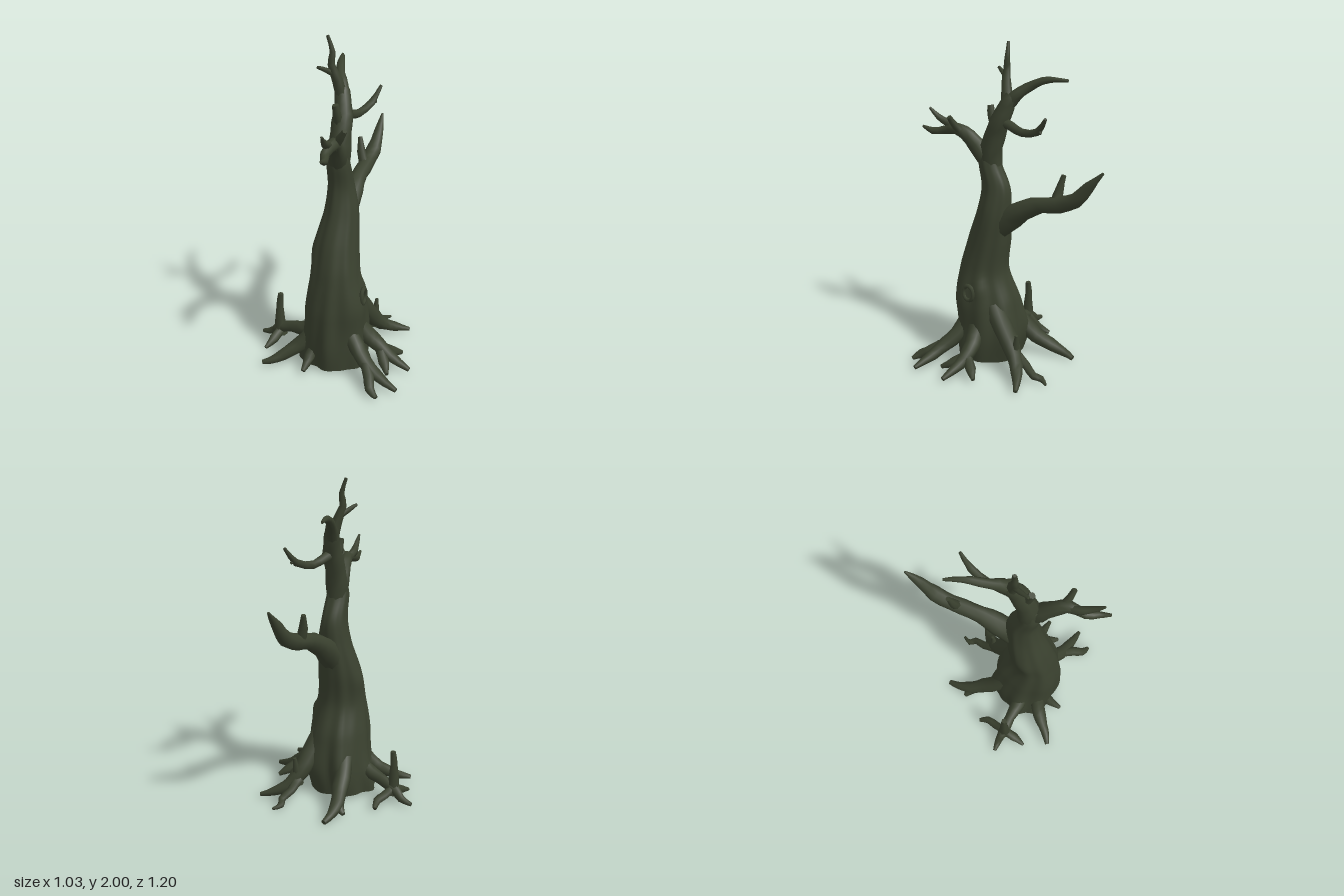
import * as THREE from 'three';
import { mergeVertices } from 'three/addons/utils/BufferGeometryUtils.js';

const bark = new THREE.MeshStandardMaterial({ color: 0x3a412f });
bark.name = 'darkBark';

// Reshapes a unit cylinder: place(t, x, z, v) moves each vertex, t runs along the length.
function sweep(name, sides, steps, place) {
  let g = new THREE.CylinderGeometry(1, 1, 1, sides, steps);
  g.deleteAttribute('uv');
  g = mergeVertices(g);
  const pos = g.attributes.position;
  const v = new THREE.Vector3();
  for (let i = 0; i < pos.count; i++) {
    v.fromBufferAttribute(pos, i);
    place(v.y + 0.5, v.x, v.z, v);
    pos.setXYZ(i, v.x, v.y, v.z);
  }
  g.computeVertexNormals();
  const mesh = new THREE.Mesh(g, bark);
  mesh.name = name;
  return mesh;
}

// Tapered limb through points [x, y, z, radius].
function limb(name, pts, sides = 7) {
  const curve = new THREE.CatmullRomCurve3(pts.map(p => new THREE.Vector3(p[0], p[1], p[2])));
  const n = pts.length - 1;
  const d = curve.points[n].clone().sub(curve.points[0]).normalize();
  const ref = Math.abs(d.x) < 0.6 ? new THREE.Vector3(1, 0, 0) : new THREE.Vector3(0, 0, 1);
  return sweep(name, sides, n * 2, (t, x, z, v) => {
    const k = Math.min(Math.floor(t * n), n - 1);
    const wobble = 1 + 0.06 * Math.sin(t * n * 4 + x * 3);
    const r = THREE.MathUtils.lerp(pts[k][3], pts[k + 1][3], t * n - k) * wobble;
    const T = curve.getTangent(t);
    const X = ref.clone().addScaledVector(T, -ref.dot(T)).normalize();
    const Z = X.clone().cross(T);
    v.copy(curve.getPoint(t)).addScaledVector(X, x * r).addScaledVector(Z, z * r);
  });
}

// Swellings on the trunk: [angle from the front, height, angular spread, vertical spread, amount].
const swellings = [
  [1.6, 0.12, 0.25, 0.16, 0.12], [1.05, 0.12, 0.25, 0.16, 0.12], [-0.96, 0.08, 0.22, 0.13, 0.1],
  [-1.6, 0.1, 0.25, 0.12, 0.08], [2.6, 0.2, 0.25, 0.2, 0.2], [-2.65, 0.15, 0.25, 0.17, 0.16],
  [3.14, 0.08, 0.2, 0.13, 0.08], [-1.55, 0.74, 0.5, 0.06, 0.07], [1.2, 0.42, 0.55, 0.14, 0.12],
  [1.9, 0.52, 0.3, 0.06, 0.1]];

// Fluted trunk; rows are [y, centre x, centre z, half width, half depth].
function trunk() {
  const rows = [
    [0.02, 0.01, 0.185, 0.205, 0.195], [0.2, 0.022, 0.178, 0.192, 0.215], [0.4, 0.03, 0.192, 0.178, 0.2],
    [0.6, 0.035, 0.21, 0.148, 0.15], [0.8, 0.03, 0.174, 0.132, 0.133], [1.0, 0.042, 0.13, 0.1, 0.106],
    [1.15, 0.038, 0.118, 0.076, 0.09], [1.3, 0.037, 0.16, 0.068, 0.066], [1.4, 0.037, 0.165, 0.045, 0.045]];
  const a = new THREE.CatmullRomCurve3(rows.map(r => new THREE.Vector3(r[0], r[1], r[2])));
  const b = new THREE.CatmullRomCurve3(rows.map(r => new THREE.Vector3(r[3], r[4], 0)));
  return sweep('trunk', 64, 48, (t, x, z, v) => {
    const c = a.getPoint(t), s = b.getPoint(t);
    const th = Math.atan2(x, z), fade = 1 - 0.75 * t;
    let f = 1 + fade * (0.035 * Math.sin(7 * th + 3 * t) + 0.022 * Math.sin(11 * th - 5 * t + 1)
      + 0.025 * Math.sin(3 * th + 14 * t));
    for (const [angle, y, spread, rise, amount] of swellings) {
      const turn = Math.atan2(Math.sin(th - angle), Math.cos(th - angle));
      f += amount * Math.exp(-((turn / spread) ** 2) - ((c.x - y) / rise) ** 2);
    }
    v.set(c.y + x * s.x * f, c.x, c.z + z * s.y * f);
  });
}

export function createModel() {
  const model = new THREE.Group();
  model.name = 'deadTree';
  model.add(trunk());

  // Crown and branches
  const branches = {
    upperTrunk: [[0.037, 1.17, 0.13, 0.05], [0.037, 1.33, 0.15, 0.067], [0.037, 1.46, 0.125, 0.064],
      [0.035, 1.56, 0.085, 0.057], [0.02, 1.65, 0.05, 0.048], [0.005, 1.71, 0.025, 0.036]],
    topBackBranch: [[0.012, 1.64, 0.055, 0.04], [0, 1.7, 0.01, 0.038], [-0.035, 1.752, -0.055, 0.028],
      [-0.065, 1.798, -0.14, 0.022], [-0.085, 1.808, -0.21, 0.015], [-0.11, 1.806, -0.28, 0.008]],
    topSpike: [[0.015, 1.65, 0.05, 0.04], [-0.005, 1.75, 0.068, 0.03], [-0.035, 1.84, 0.085, 0.022],
      [-0.03, 1.91, 0.078, 0.016], [-0.055, 2, 0.086, 0.009]],
    topTwig: [[-0.03, 1.79, 0.08, 0.018], [-0.055, 1.815, 0.12, 0.015], [-0.08, 1.84, 0.17, 0.009]],
    middleBackBranch: [[0.035, 1.56, 0.09, 0.036], [0.045, 1.54, 0.01, 0.028], [0.065, 1.517, -0.09, 0.024],
      [0.1, 1.55, -0.21, 0.022], [0.135, 1.64, -0.28, 0.009]],
    middleBackTwig: [[0.09, 1.54, -0.18, 0.016], [0.11, 1.56, -0.23, 0.012], [0.12, 1.545, -0.24, 0.006]],
    crownStub: [[0.03, 1.5, 0.12, 0.032], [0.025, 1.57, 0.15, 0.025], [0.02, 1.635, 0.163, 0.02]],
    frontBranch: [[0.04, 1.2, 0.14, 0.03], [0.048, 1.34, 0.2, 0.056], [0.065, 1.435, 0.285, 0.045],
      [0.085, 1.48, 0.36, 0.036], [0.08, 1.455, 0.46, 0.026], [0.105, 1.445, 0.53, 0.021], [0.115, 1.468, 0.595, 0.008]],
    frontUpperTwig: [[0.08, 1.46, 0.34, 0.03], [0.075, 1.5, 0.43, 0.025], [0.09, 1.53, 0.49, 0.019],
      [0.1, 1.585, 0.55, 0.007]],
    frontStub: [[0.08, 1.45, 0.32, 0.028], [0.12, 1.51, 0.35, 0.022], [0.155, 1.565, 0.365, 0.015]],
    backBranch: [[0.035, 0.74, 0.19, 0.04], [0.035, 0.87, 0.11, 0.072], [0.035, 0.97, 0.01, 0.075], [0.035, 1.042, -0.09, 0.061],
      [0.035, 1.092, -0.2, 0.048], [0.035, 1.12, -0.32, 0.049], [0.04, 1.17, -0.43, 0.046],
      [0.045, 1.265, -0.51, 0.031], [0.04, 1.36, -0.595, 0.007]],
    backStub: [[0.03, 1.12, -0.29, 0.035], [0.005, 1.2, -0.3, 0.026], [-0.01, 1.285, -0.32, 0.014]],
  };

  // Roots, each rising out of the flared base and running to a tip on the ground
  const roots = {
    leftRoot: [[0.09, 0.42, 0.18, 0.025], [0.15, 0.3, 0.175, 0.055], [0.22, 0.195, 0.165, 0.056], [0.3, 0.13, 0.155, 0.046],
      [0.38, 0.075, 0.17, 0.036], [0.51, 0.03, 0.2, 0.014]],
    leftRootBackFork: [[0.32, 0.11, 0.155, 0.034], [0.37, 0.06, 0.09, 0.032], [0.415, 0.03, 0.04, 0.012]],
    leftRootFrontFork: [[0.31, 0.11, 0.16, 0.034], [0.36, 0.06, 0.23, 0.032], [0.4, 0.03, 0.295, 0.013]],
    frontLeftRoot: [[0.08, 0.4, 0.23, 0.025], [0.14, 0.28, 0.265, 0.05], [0.21, 0.18, 0.3, 0.052], [0.28, 0.12, 0.345, 0.045],
      [0.37, 0.07, 0.385, 0.035], [0.5, 0.03, 0.425, 0.014]],
    frontLeftRootFork: [[0.27, 0.13, 0.34, 0.035], [0.33, 0.08, 0.42, 0.032], [0.36, 0.04, 0.485, 0.03],
      [0.41, 0.02, 0.52, 0.012]],
    frontRightRoot: [[-0.04, 0.34, 0.25, 0.025], [-0.085, 0.22, 0.28, 0.048], [-0.15, 0.13, 0.315, 0.048], [-0.22, 0.08, 0.36, 0.04],
      [-0.28, 0.045, 0.41, 0.028], [-0.355, 0.025, 0.45, 0.014]],
    frontSmallRoot: [[-0.05, 0.2, 0.31, 0.025], [-0.07, 0.09, 0.37, 0.034], [-0.08, 0.035, 0.455, 0.014]],
    rightRoot: [[-0.06, 0.24, 0.21, 0.03], [-0.17, 0.155, 0.18, 0.048], [-0.28, 0.125, 0.155, 0.036],
      [-0.38, 0.09, 0.14, 0.036], [-0.44, 0.04, 0.125, 0.024], [-0.51, 0.02, 0.12, 0.012]],
    rightRootSpike: [[-0.37, 0.05, 0.145, 0.042], [-0.375, 0.15, 0.145, 0.032], [-0.375, 0.25, 0.142, 0.024],
      [-0.368, 0.34, 0.14, 0.017]],
    rightRootBackFork: [[-0.37, 0.09, 0.14, 0.03], [-0.345, 0.06, 0.07, 0.026], [-0.325, 0.045, 0.01, 0.026],
      [-0.34, 0.025, -0.045, 0.012]],
    rightRootFrontFork: [[-0.37, 0.08, 0.145, 0.032], [-0.385, 0.05, 0.22, 0.03], [-0.41, 0.02, 0.295, 0.011]],
    backLeftRoot: [[0.07, 0.54, 0.17, 0.025], [0.105, 0.41, 0.1, 0.062], [0.145, 0.27, 0.0, 0.064], [0.17, 0.17, -0.08, 0.055],
      [0.22, 0.09, -0.145, 0.042], [0.29, 0.05, -0.195, 0.03], [0.375, 0.025, -0.24, 0.012]],
    backLeftRootSpike: [[0.175, 0.09, -0.1, 0.035], [0.18, 0.18, -0.115, 0.024], [0.185, 0.275, -0.125, 0.011]],
    backLeftRootFork: [[0.17, 0.13, -0.11, 0.038], [0.175, 0.08, -0.19, 0.026], [0.2, 0.045, -0.26, 0.024],
      [0.18, 0.03, -0.3, 0.02], [0.21, 0.02, -0.35, 0.008]],
    backRightRoot: [[-0.02, 0.45, 0.16, 0.025], [-0.055, 0.33, 0.09, 0.055], [-0.09, 0.21, 0.01, 0.055], [-0.115, 0.125, -0.08, 0.05],
      [-0.145, 0.07, -0.17, 0.042], [-0.155, 0.04, -0.26, 0.029], [-0.145, 0.02, -0.335, 0.016]],
    backRightRootFork: [[-0.135, 0.08, -0.13, 0.036], [-0.17, 0.045, -0.18, 0.028], [-0.205, 0.025, -0.2, 0.014]],
  };
  for (const set of [branches, roots])
    for (const [name, pts] of Object.entries(set)) model.add(limb(name, pts, pts.length > 5 ? 9 : 7));

  // Raised rim of the knot on the left side
  const knot = new THREE.Mesh(new THREE.TorusGeometry(0.036, 0.011, 6, 14), bark);
  knot.name = 'knotRim';
  knot.position.set(0.214, 0.485, 0.21);
  knot.rotation.set(0, Math.PI / 2, 0);
  knot.scale.set(1, 1.35, 1.2);
  model.add(knot);
  return model;
}
